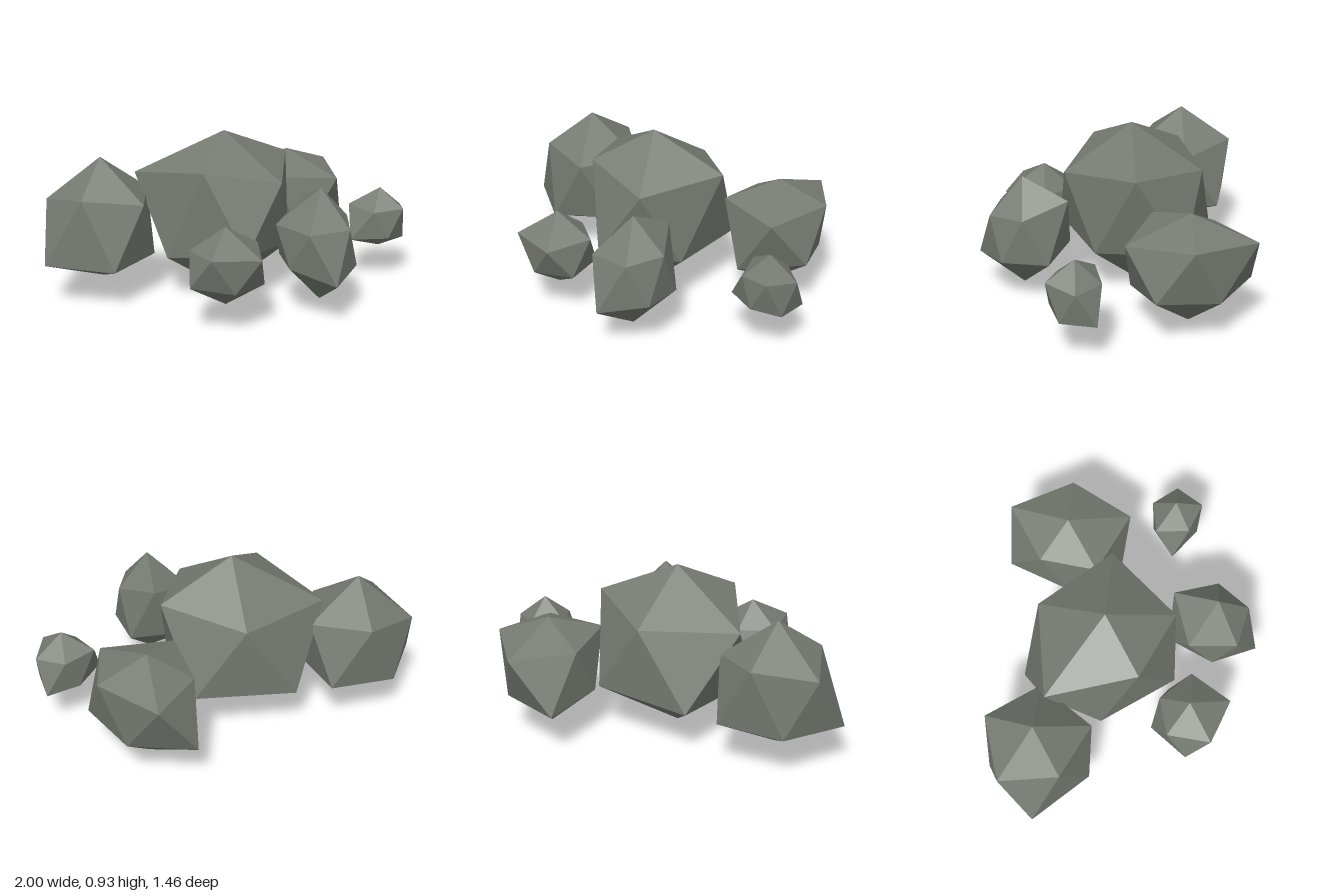
import * as THREE from 'three';

const STEP = (Math.PI * 2) / 5;

// A twenty-sided boulder: two poles and two staggered rings of five corners.
// Each ring corner is [radius, height].
function boulder(name, material, { x, z, top, bottom, upper, lower }) {
  const corner = ([r, y], k, offset) => {
    const a = (k + offset) * STEP;
    return [r * Math.cos(a), y, r * Math.sin(a)];
  };
  const U = upper.map((p, k) => corner(p, k, 0));
  const L = lower.map((p, k) => corner(p, k, 0.5));
  const T = [0, top, 0];
  const B = [0, bottom, 0];
  const positions = [];
  for (let k = 0; k < 5; k++) {
    const n = (k + 1) % 5;
    positions.push(
      ...T, ...U[n], ...U[k], // cap
      ...U[k], ...U[n], ...L[k], // band
      ...L[n], ...L[k], ...U[n],
      ...B, ...L[k], ...L[n] // base
    );
  }
  const geometry = new THREE.BufferGeometry();
  geometry.setAttribute('position', new THREE.Float32BufferAttribute(positions, 3));
  geometry.computeVertexNormals();
  const mesh = new THREE.Mesh(geometry, material);
  mesh.name = name;
  mesh.position.set(x, 0, z);
  return mesh;
}

export function createModel() {
  const group = new THREE.Group();
  group.name = 'boulderCluster';
  const stone = new THREE.MeshStandardMaterial({ color: 0x757b72, flatShading: true });
  stone.name = 'greyStone';

  // Large central boulder
  group.add(boulder('centralBoulder', stone, {
    x: -0.03, z: -0.12, top: 0.93, bottom: 0,
    upper: [[0.43, 0.75], [0.393, 0.69], [0.342, 0.77], [0.5, 0.69], [0.4, 0.69]],
    lower: [[0.36, 0.277], [0.415, 0.32], [0.384, 0.26], [0.479, 0.265], [0.461, 0.29]],
  }));

  // Two medium boulders at the back
  group.add(boulder('backRightBoulder', stone, {
    x: -0.634, z: -0.447, top: 0.8, bottom: 0.11,
    upper: [[0.3, 0.58], [0.31, 0.575], [0.26, 0.617], [0.304, 0.56], [0.292, 0.625]],
    lower: [[0.29, 0.24], [0.304, 0.222], [0.366, 0.238], [0.28, 0.255], [0.337, 0.273]],
  }));
  group.add(boulder('backLeftBoulder', stone, {
    x: 0.617, z: -0.39, top: 0.67, bottom: 0.055,
    upper: [[0.284, 0.572], [0.36, 0.542], [0.305, 0.57], [0.243, 0.54], [0.36, 0.55]],
    lower: [[0.325, 0.285], [0.318, 0.216], [0.25, 0.265], [0.36, 0.246], [0.245, 0.25]],
  }));

  // Smaller boulders along the front
  group.add(boulder('frontBoulder', stone, {
    x: 0.182, z: 0.48, top: 0.708, bottom: 0.077,
    upper: [[0.184, 0.52], [0.187, 0.504], [0.215, 0.5], [0.24, 0.5], [0.258, 0.59]],
    lower: [[0.2, 0.27], [0.259, 0.23], [0.204, 0.285], [0.268, 0.28], [0.23, 0.258]],
  }));
  group.add(boulder('frontRightBoulder', stone, {
    x: -0.36, z: 0.366, top: 0.56, bottom: 0.13,
    upper: [[0.208, 0.436], [0.236, 0.42], [0.222, 0.44], [0.19, 0.43], [0.175, 0.43]],
    lower: [[0.205, 0.243], [0.175, 0.243], [0.226, 0.265], [0.213, 0.25], [0.207, 0.25]],
  }));
  group.add(boulder('frontLeftPebble', stone, {
    x: 0.842, z: 0.208, top: 0.53, bottom: 0.18,
    upper: [[0.157, 0.404], [0.158, 0.427], [0.145, 0.414], [0.178, 0.43], [0.143, 0.414]],
    lower: [[0.14, 0.23], [0.14, 0.26], [0.214, 0.25], [0.13, 0.24], [0.185, 0.224]],
  }));

  return group;
}
